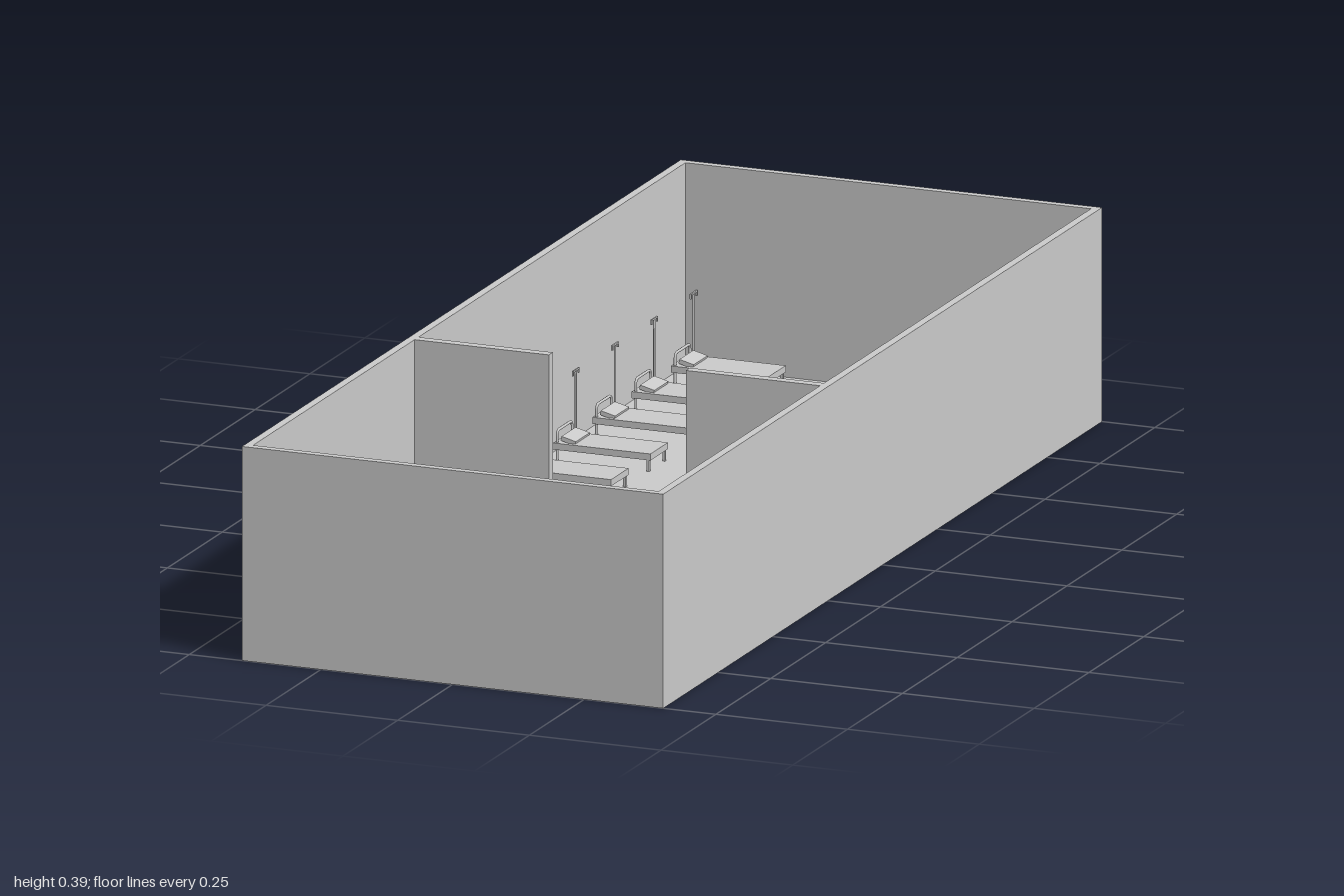
import * as THREE from 'three';

const mat = new THREE.MeshStandardMaterial({ color: 0xcccccc });
const W = 0.8, L = 2, H = 0.39, T = 0.015, FLOOR = 0.02;

function add(parent, name, geometry, x = 0, y = 0, z = 0) {
  const mesh = new THREE.Mesh(geometry, mat);
  mesh.name = name;
  mesh.position.set(x, y, z);
  parent.add(mesh);
  return mesh;
}

const box = (w, h, d) => new THREE.BoxGeometry(w, h, d);

// Bent bed-end tube: two uprights joined by a rounded top rail, across z
function hoop(height, halfWidth, radius) {
  const r = 0.01;
  const path = new THREE.CurvePath();
  const v = (y, z) => new THREE.Vector3(0, y, z);
  path.add(new THREE.LineCurve3(v(0, -halfWidth), v(height - r, -halfWidth)));
  path.add(new THREE.QuadraticBezierCurve3(v(height - r, -halfWidth), v(height, -halfWidth), v(height, r - halfWidth)));
  path.add(new THREE.LineCurve3(v(height, r - halfWidth), v(height, halfWidth - r)));
  path.add(new THREE.QuadraticBezierCurve3(v(height, halfWidth - r), v(height, halfWidth), v(height - r, halfWidth)));
  path.add(new THREE.LineCurve3(v(height - r, halfWidth), v(0, halfWidth)));
  return new THREE.TubeGeometry(path, 40, radius, 8);
}

// Bed running along x with its head towards +x, standing on y = 0
function makeBed() {
  const bed = new THREE.Group();
  bed.name = 'bed';
  add(bed, 'mattress', box(0.185, 0.012, 0.08), 0, 0.027, 0);
  const pillow = add(bed, 'pillow', box(0.028, 0.008, 0.064), 0.067, 0.037, 0);
  pillow.rotation.z = 0.25;
  add(bed, 'headboardRail', hoop(0.055, 0.034, 0.0025), 0.087, 0, 0);
  for (const z of [-0.036, 0.036]) add(bed, 'footLeg', box(0.005, 0.022, 0.005), -0.087, 0.011, z);
  return bed;
}

// Drip stand: pole with a crossbar and two hanging hooks
function makeDripStand() {
  const stand = new THREE.Group();
  stand.name = 'dripStand';
  add(stand, 'pole', new THREE.CylinderGeometry(0.002, 0.002, 0.14, 8), 0, 0.07, 0);
  add(stand, 'crossbar', box(0.003, 0.003, 0.028), 0, 0.14, 0);
  for (const z of [-0.0125, 0.0125]) add(stand, 'hook', box(0.003, 0.008, 0.003), 0, 0.136, z);
  return stand;
}

function floorRing(parent, name, radius, z) {
  const ring = add(parent, name, new THREE.TorusGeometry(radius, 0.004, 8, 64), 0, FLOOR + 0.002, z);
  ring.rotation.x = Math.PI / 2;
}

export function createModel() {
  const model = new THREE.Group();
  model.name = 'hospitalWard';

  // Open-topped shell
  const plan = new THREE.Shape([[-1, -1], [1, -1], [1, 1], [-1, 1]]
    .map(([a, b]) => new THREE.Vector2(a * W / 2, b * L / 2)));
  plan.holes.push(new THREE.Path([[-1, -1], [-1, 1], [1, 1], [1, -1]]
    .map(([a, b]) => new THREE.Vector2(a * (W / 2 - T), b * (L / 2 - T)))));
  const walls = add(model, 'outerWalls', new THREE.ExtrudeGeometry(plan, { depth: H, bevelEnabled: false }));
  walls.rotation.x = -Math.PI / 2;
  add(model, 'floor', box(W - 2 * T, FLOOR, L - 2 * T), 0, FLOOR / 2, 0);

  // Partition with a central opening
  for (const side of [-1, 1]) {
    add(model, 'partitionWall', box(0.257, H - FLOOR, 0.018), side * 0.2585, (H + FLOOR) / 2, 0.24);
  }

  // Two rows of beds with a drip stand beside each head
  for (const side of [-1, 1]) {
    for (let i = 0; i < 7; i++) {
      const z = -0.907 + i * 0.179;
      const bed = makeBed();
      bed.position.set(side * 0.271, FLOOR, z);
      if (side < 0) bed.rotation.y = Math.PI;
      const stand = makeDripStand();
      stand.position.set(side * 0.362, FLOOR, z - 0.06);
      model.add(bed, stand);
    }
  }

  // Raised rings on the floor: a double one in the lobby, two small ones in the aisle
  for (const radius of [0.27, 0.31]) floorRing(model, 'lobbyFloorRing', radius, 0.62);
  for (const z of [-0.67, -0.19]) floorRing(model, 'aisleFloorRing', 0.088, z);

  return model;
}
